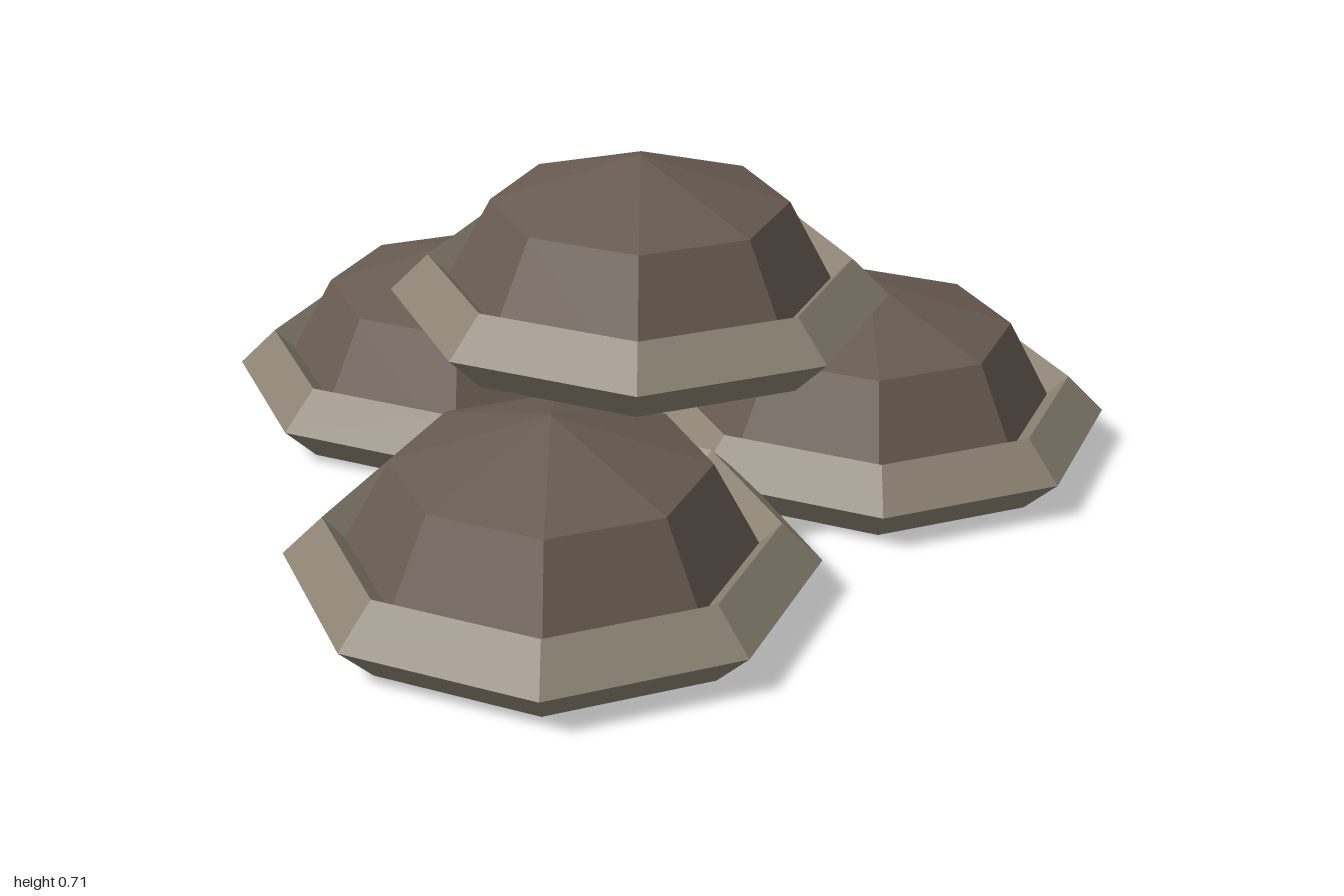
import * as THREE from 'three';

const SIDES = 8;
const RING_RADIUS = 0.445;
const TUBE = 0.08;

// Octagonal ring with a diamond section. Both ends stand square to their
// own straight length, so a small V-shaped gap opens on the +x side.
function ringGeometry() {
  const section = [[1, 0], [0, 1], [-1, 0], [0, -1]]; // outer, top, inner, bottom
  const positions = [];
  const index = [];
  for (let i = 0; i <= SIDES; i++) {
    const angle = (i / SIDES) * Math.PI * 2;
    const turn = i === 0 ? Math.PI / SIDES : i === SIDES ? -Math.PI / SIDES : 0;
    for (const [out, up] of section) {
      positions.push(
        RING_RADIUS * Math.cos(angle) + TUBE * out * Math.cos(angle + turn),
        TUBE + TUBE * up,
        -RING_RADIUS * Math.sin(angle) - TUBE * out * Math.sin(angle + turn)
      );
    }
  }
  for (let i = 0; i < SIDES; i++) {
    for (let j = 0; j < 4; j++) {
      const a = i * 4 + j;
      const b = i * 4 + ((j + 1) % 4);
      index.push(a, a + 4, b + 4, a, b + 4, b);
    }
  }
  // end caps
  const e = SIDES * 4;
  index.push(0, 1, 2, 0, 2, 3, e, e + 2, e + 1, e, e + 3, e + 2);
  const geometry = new THREE.BufferGeometry();
  geometry.setAttribute('position', new THREE.Float32BufferAttribute(positions, 3));
  geometry.setIndex(index);
  const flat = geometry.toNonIndexed();
  flat.computeVertexNormals();
  return flat;
}

// Hollow faceted dome, open underneath
function domeGeometry() {
  const profile = [[0.44, 0.045], [0.311, 0.285], [0, 0.385]];
  return new THREE.LatheGeometry(profile.map(([r, y]) => new THREE.Vector2(r, y)), SIDES);
}

export function createModel() {
  const domeBrown = new THREE.MeshStandardMaterial({
    color: 0x685b51, flatShading: true, side: THREE.DoubleSide
  });
  domeBrown.name = 'domeBrown';
  const rimStone = new THREE.MeshStandardMaterial({ color: 0x8c8273, flatShading: true });
  rimStone.name = 'rimStone';

  const ring = ringGeometry();
  const dome = domeGeometry();
  const model = new THREE.Group();
  model.name = 'domeStack';

  // three domes on the ground and one resting on top
  const places = [
    ['backDome', 0, 0, -0.4],
    ['rightDome', -0.48, 0, 0.4],
    ['leftDome', 0.48, 0, 0.37],
    ['topDome', 0.035, 0.325, 0.115]
  ];
  for (const [name, x, y, z] of places) {
    const unit = new THREE.Group();
    unit.name = name;
    const shell = new THREE.Mesh(dome, domeBrown);
    shell.name = 'shell';
    const rim = new THREE.Mesh(ring, rimStone);
    rim.name = 'rim';
    unit.add(shell, rim);
    unit.position.set(x, y, z);
    model.add(unit);
  }
  return model;
}
